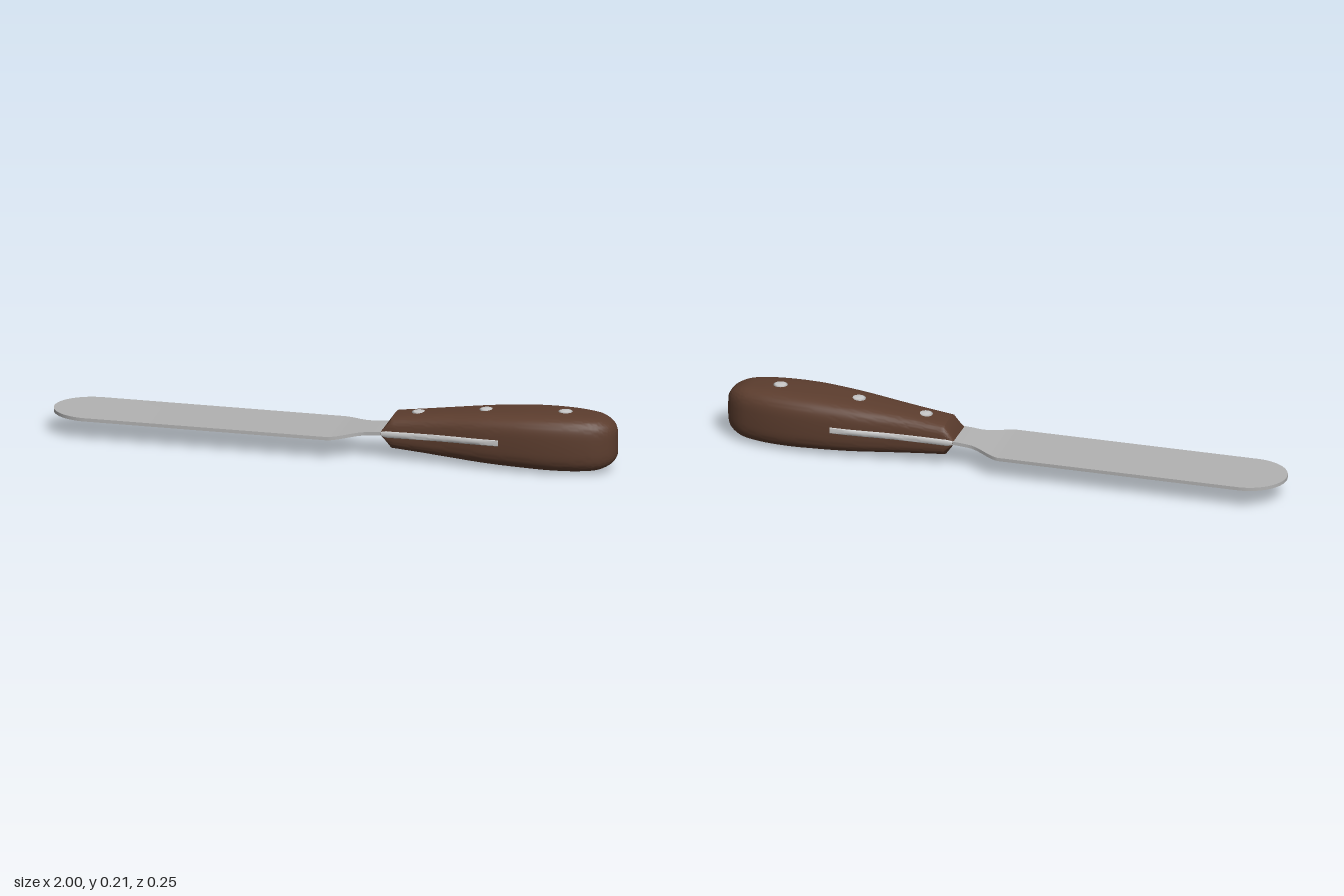
import * as THREE from 'three';
import { toCreasedNormals } from 'three/addons/utils/BufferGeometryUtils.js';

const V = (x, y, z) => new THREE.Vector3(x, y, z);

// Superelliptic ring of [y, z] unit points; a higher power is boxier
function superRing(power, count) {
  const bend = (v) => Math.sign(v) * Math.pow(Math.abs(v), 2 / power);
  return Array.from({ length: count }, (_, i) => {
    const a = (i / count) * Math.PI * 2;
    return [bend(Math.sin(a)), bend(Math.cos(a))];
  });
}

// Skin along x through sections [x, centreY, halfHeight, halfWidth], closed at both ends
function loft(sections, ring, crease) {
  const first = sections[0], last = sections[sections.length - 1];
  const all = [[first[0], first[1], 0, 0], ...sections, [last[0], last[1], 0, 0]];
  const n = ring.length, pos = [], index = [];
  all.forEach(([x, y, h, w]) => ring.forEach(([ry, rz]) => pos.push(x, y + ry * h, rz * w)));
  for (let i = 0; i < all.length - 1; i++) {
    for (let j = 0; j < n; j++) {
      const a = i * n + j, b = i * n + ((j + 1) % n);
      index.push(a, a + n, b, b, a + n, b + n);
    }
  }
  const g = new THREE.BufferGeometry();
  g.setAttribute('position', new THREE.Float32BufferAttribute(pos, 3));
  g.setIndex(index);
  return toCreasedNormals(g, crease);
}

export function createModel() {
  const model = new THREE.Group();
  const steel = new THREE.MeshStandardMaterial({ color: 0xb2b2b2 });
  const brightSteel = new THREE.MeshStandardMaterial({ color: 0xc8c8c8 });
  const wood = new THREE.MeshStandardMaterial({ color: 0x5c3d2e });
  steel.name = 'steel';
  brightSteel.name = 'brightSteel';
  wood.name = 'wood';
  const add = (name, geometry, material) => {
    const mesh = new THREE.Mesh(geometry, material);
    mesh.name = name;
    model.add(mesh);
    return mesh;
  };

  // Blade: round tip, parallel sides, then a narrowing neck that rises to the handle
  const blade = [];
  for (let i = 0; i <= 20; i++) {
    const a = (i / 20) * Math.PI / 2;
    blade.push([-0.86 - 0.14 * Math.cos(a), 0.08, 0.006, Math.max(0.001, 0.125 * Math.sin(a))]);
  }
  for (let i = 0; i <= 20; i++) {
    const x = i * 0.011;
    const narrow = THREE.MathUtils.smoothstep(x, -0.01, 0.12);
    const rise = THREE.MathUtils.smoothstep(x, -0.02, 0.2);
    blade.push([x, 0.08 + 0.016 * rise, 0.006, 0.125 - 0.055 * narrow]);
  }
  add('blade', loft(blade, [[-1, 1], [1, 1], [1, -1], [-1, -1]], 0.6), steel);

  // Handle: points are (x, halfHeight, halfWidth)
  const profile = new THREE.CatmullRomCurve3([
    V(0.21, 0.058, 0.074), V(0.3, 0.067, 0.079), V(0.4, 0.077, 0.088),
    V(0.55, 0.09, 0.108), V(0.7, 0.098, 0.118), V(0.8, 0.1, 0.114),
    V(0.88, 0.098, 0.101), V(0.94, 0.091, 0.081), V(0.98, 0.072, 0.051),
    V(0.995, 0.052, 0.026), V(1, 0.035, 0.004),
  ]).getPoints(70);
  const centre = (x) => 0.095 + 0.012 * Math.min(1, (x - 0.18) / 0.5);
  const handle = [[0.175, 0.095, 0.008, 0.07], ...profile.map((p) => [p.x, centre(p.x), p.y, p.z])];
  add('handle', loft(handle, superRing(3.5, 64), 0.7), wood);

  // Half height and half width of the handle at x
  const sizeAt = (x) => {
    const i = Math.max(1, handle.findIndex((s) => s[0] >= x));
    const a = handle[i - 1], b = handle[i], t = (x - a[0]) / (b[0] - a[0]);
    return [2, 3].map((k) => a[k] + (b[k] - a[k]) * t);
  };

  // Tang: its edges show along both sides of the handle
  const tang = [];
  for (let i = 0; i <= 24; i++) {
    const x = 0.178 + (i / 24) * 0.427;
    tang.push([x, 0.095 + 0.013 * (i / 24), i === 0 ? 0.009 : 0.015, sizeAt(x)[1] + 0.003]);
  }
  add('tang', loft(tang, superRing(6, 32), 0.7), brightSteel);

  // Rivets: pins through the handle with slightly proud heads
  for (const x of [0.295, 0.535, 0.815]) {
    const half = sizeAt(x)[0] + 0.004;
    const cap = [[0, -half], [0.018, -half + 0.001], [0.025, -half + 0.004],
      [0.025, half - 0.004], [0.018, half - 0.001], [0, half]];
    const pin = new THREE.LatheGeometry(cap.map(([r, y]) => new THREE.Vector2(r, y)), 24);
    add('rivet', pin, brightSteel).position.set(x, centre(x), 0);
  }

  // Stand on the ground, centred
  const box = new THREE.Box3().setFromObject(model);
  model.children.forEach((m) => { m.position.y -= box.min.y; });
  return model;
}
